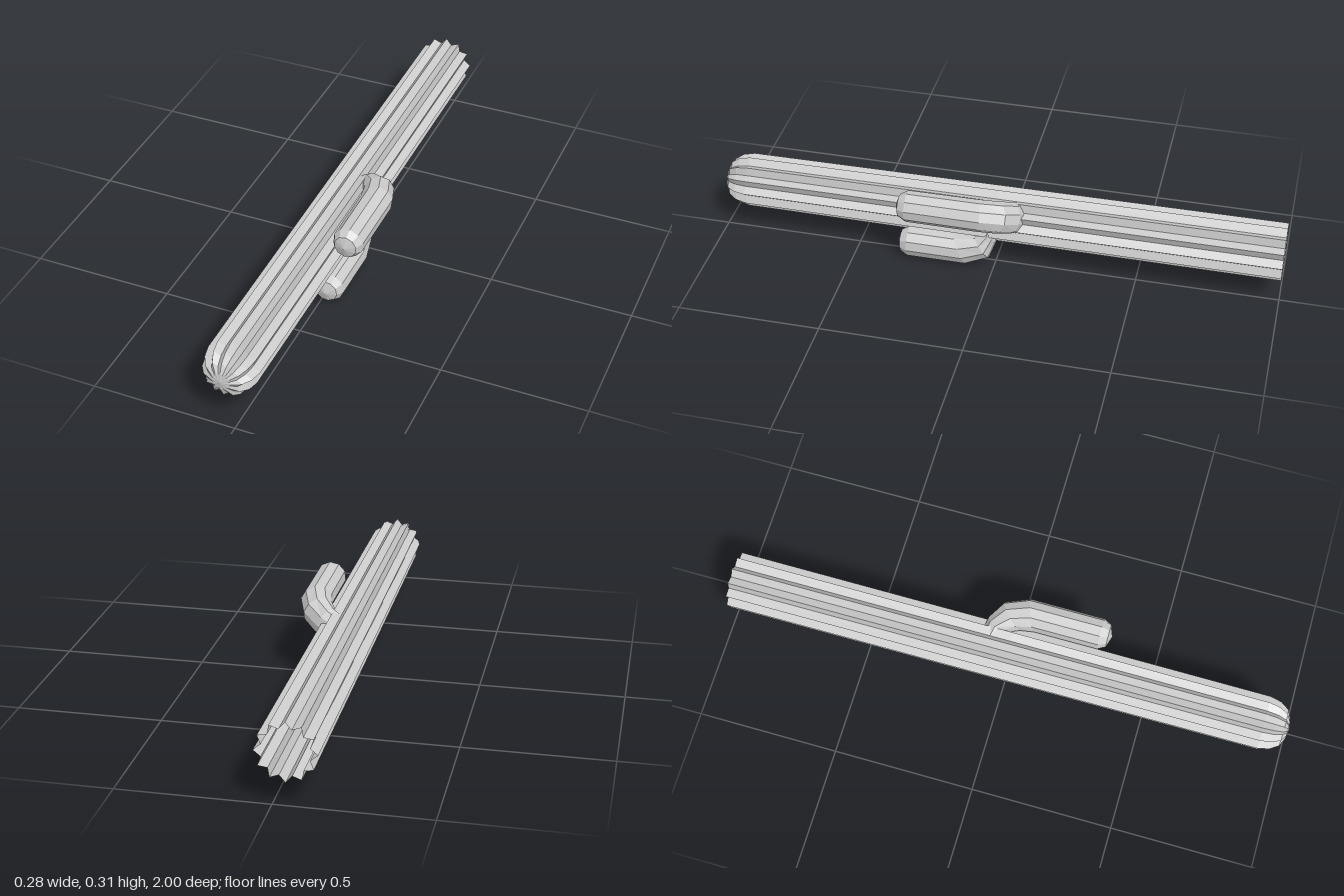
import * as THREE from 'three';

const CENTRE = new THREE.Vector2(-0.043, 0.175); // trunk axis in x, y

// Skins a list of rings (counterclockwise, advancing towards the tip).
function skin(rings, name, material) {
  const n = rings[0].length;
  const positions = rings.flat().flatMap((p) => [p.x, p.y, p.z]);
  const index = [];
  for (let i = 0; i < rings.length - 1; i++) {
    for (let j = 0; j < n; j++) {
      const a = i * n + j, b = i * n + (j + 1) % n;
      index.push(a, b, b + n);
      if (i < rings.length - 2) index.push(a, b + n, a + n); // last ring is a point
    }
  }
  const indexed = new THREE.BufferGeometry();
  indexed.setAttribute('position', new THREE.Float32BufferAttribute(positions, 3));
  indexed.setIndex(index);
  const geometry = indexed.toNonIndexed(); // split faces for hard facets
  geometry.computeVertexNormals();
  const mesh = new THREE.Mesh(geometry, material);
  mesh.name = name;
  return mesh;
}

// Twelve-pointed star ring of the trunk
function starRing([radius, z]) {
  const ring = [];
  for (let j = 0; j < 24; j++) {
    const a = (j * Math.PI) / 12;
    const r = radius * (j % 2 ? 0.78 : 1);
    ring.push(new THREE.Vector3(CENTRE.x + r * Math.cos(a), CENTRE.y + r * Math.sin(a), z));
  }
  return ring;
}

// Ten-sided arm: each section gives its inner and outer edge as
// distance from the trunk axis and z, plus its half width.
function arm(name, angle, sections, material) {
  const c = Math.cos(angle), s = Math.sin(angle);
  const rings = sections.map(([u0, z0, u1, z1, w]) => {
    const ring = [];
    for (let j = 0; j < 10; j++) {
      const a = ((j + 0.5) * Math.PI) / 5;
      const k = Math.cos(a) / Math.cos(Math.PI / 10);
      const u = (u0 + u1) / 2 + (k * (u1 - u0)) / 2;
      const z = (z0 + z1) / 2 + (k * (z1 - z0)) / 2;
      const v = w * Math.sin(a);
      ring.push(new THREE.Vector3(CENTRE.x + u * c - v * s, CENTRE.y + u * s + v * c, z));
    }
    return ring;
  });
  return skin(rings, name, material);
}

export function createModel() {
  const group = new THREE.Group();
  group.name = 'cactus';
  const grey = new THREE.MeshStandardMaterial({ color: 0xcccccc, side: THREE.DoubleSide, flatShading: true });
  grey.name = 'lightGrey';

  // Ribbed trunk, open at the base, with a domed tip
  const trunk = [[0.1, -1], [0.098, 0], [0.095, 0.91], [0.086, 0.95], [0.066, 0.98], [0.036, 0.994], [0, 1]];
  group.add(skin(trunk.map(starRing), 'trunk', grey));

  // Upper arm
  group.add(arm('upperArm', Math.PI / 6, [
    [0.04, -0.04, 0.04, -0.11, 0.054],
    [0.07, -0.03, 0.11, -0.095, 0.055],
    [0.092, 0.02, 0.17, -0.055, 0.056],
    [0.1, 0.07, 0.203, 0.03, 0.056],
    [0.1, 0.295, 0.203, 0.295, 0.055],
    [0.114, 0.322, 0.189, 0.322, 0.04],
    [0.152, 0.335, 0.152, 0.335, 0],
  ], grey));

  // Lower arm
  group.add(arm('lowerArm', -Math.PI / 2.93, [
    [0.05, 0.05, 0.05, -0.005, 0.054],
    [0.062, 0.045, 0.1, 0, 0.055],
    [0.08, 0.08, 0.16, 0.02, 0.055],
    [0.087, 0.15, 0.192, 0.1, 0.055],
    [0.087, 0.31, 0.192, 0.31, 0.054],
    [0.102, 0.337, 0.177, 0.337, 0.04],
    [0.14, 0.35, 0.14, 0.35, 0],
  ], grey));

  return group;
}
